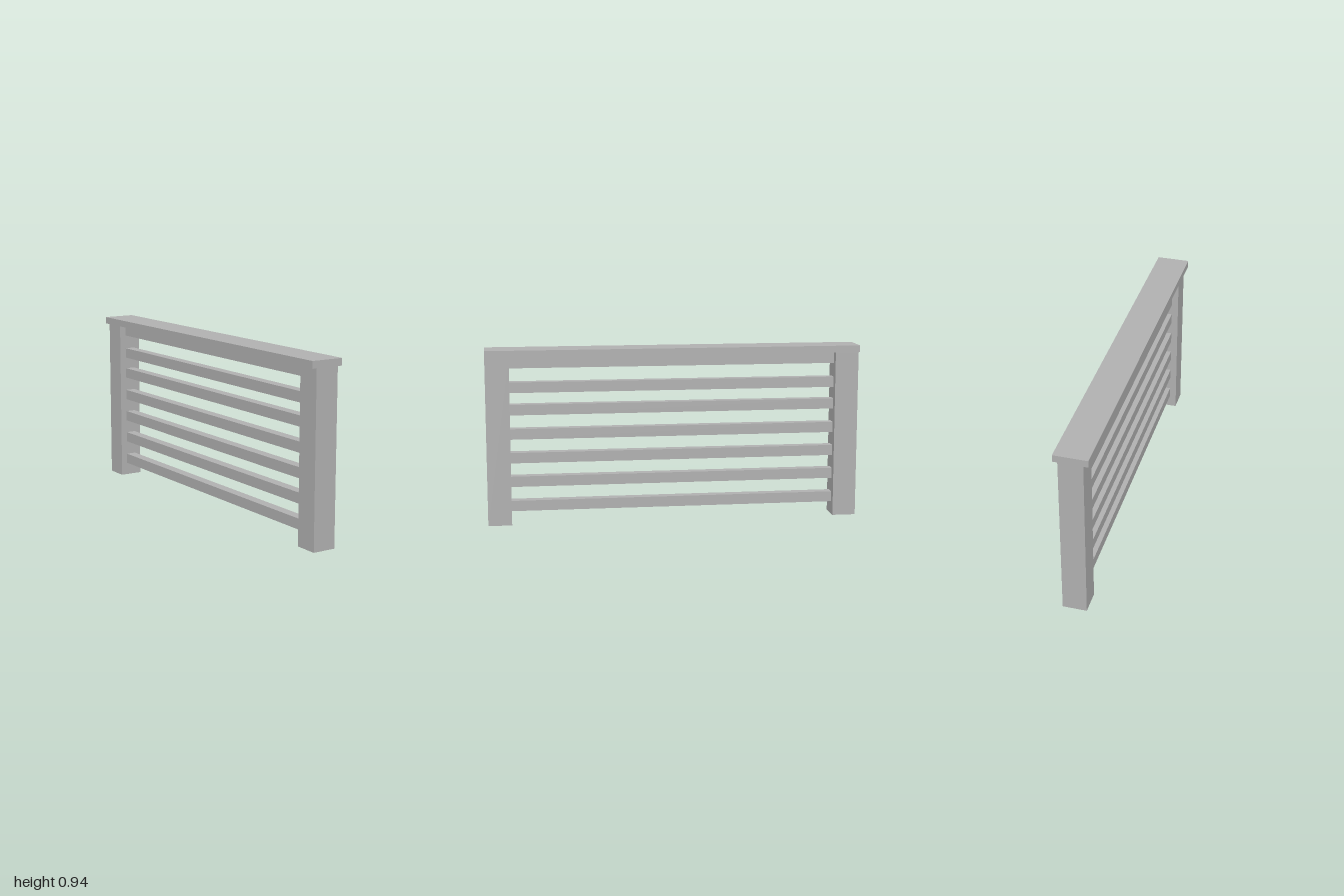
import * as THREE from 'three';

export function createModel() {
  const model = new THREE.Group();
  model.name = 'railing';

  const grey = new THREE.MeshStandardMaterial({ color: 0xb0b0b0 });
  grey.name = 'plain grey';

  const addBox = (name, w, h, d, y, z = 0) => {
    const mesh = new THREE.Mesh(new THREE.BoxGeometry(w, h, d), grey);
    mesh.name = name;
    mesh.position.set(0, y, z);
    model.add(mesh);
  };

  const postSize = 0.126;
  const postHeight = 0.9;
  const capHeight = 0.037;

  // End posts
  addBox('frontPost', postSize, postHeight, postSize, postHeight / 2, 1 - postSize / 2);
  addBox('backPost', postSize, postHeight, postSize, postHeight / 2, postSize / 2 - 1);

  // Flat cap along the top
  addBox('topCap', 0.176, capHeight, 2, postHeight + capHeight / 2);

  // Horizontal rails between the posts
  const railHeights = [0.097, 0.229, 0.357, 0.485, 0.615, 0.734, 0.865];
  railHeights.forEach((y, i) => addBox(`rail${i + 1}`, 0.054, 0.056, 2 - 2 * postSize, y));

  return model;
}
